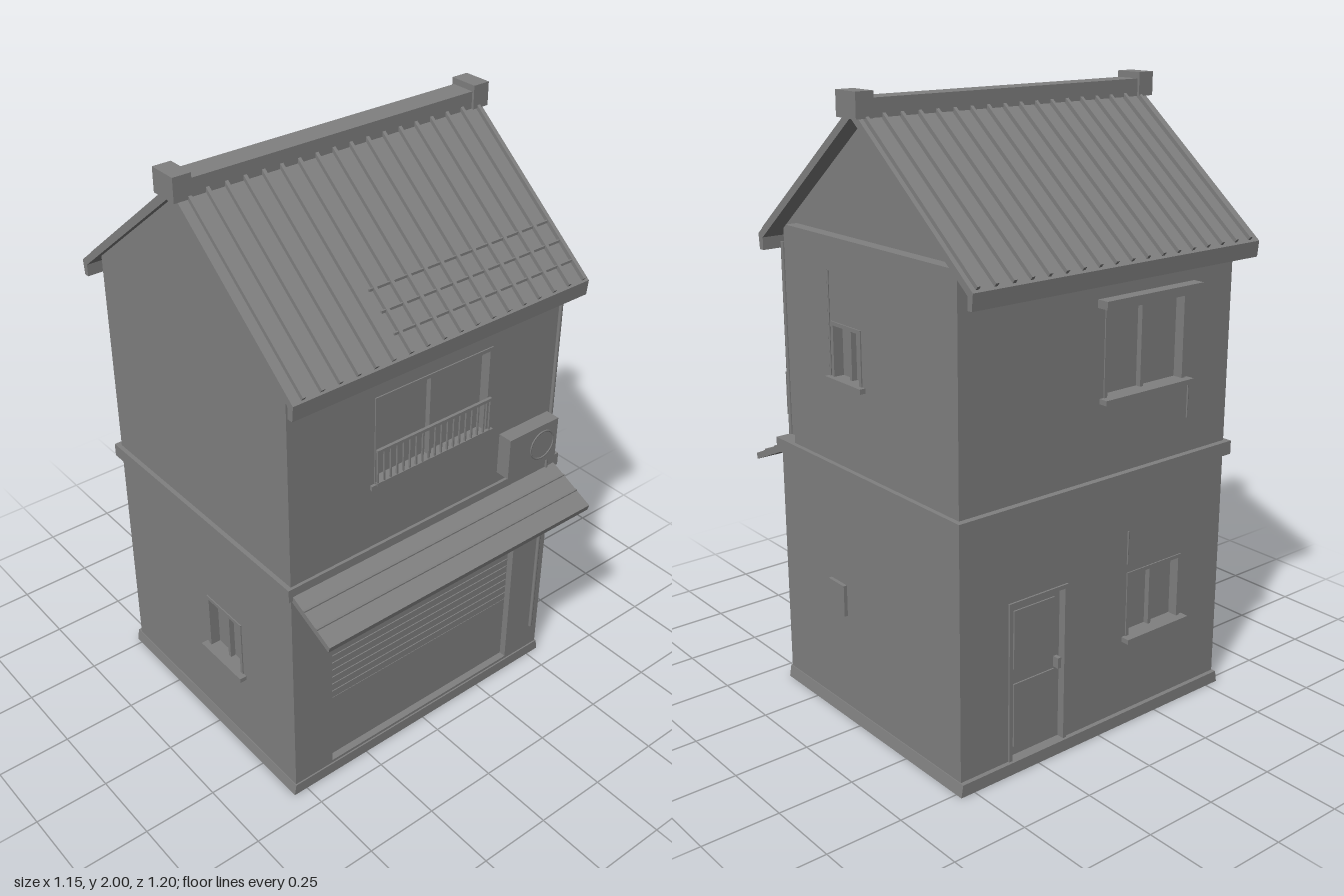
import * as THREE from 'three';

export function createModel() {
  const house = new THREE.Group();
  house.name = 'house';
  const grey = new THREE.MeshStandardMaterial({ color: 0x808080 });
  grey.name = 'plain grey';

  const add = (parent, name, geo) => {
    const m = new THREE.Mesh(geo, grey);
    m.name = name;
    parent.add(m);
    return m;
  };
  // Box given by its limits on each axis
  const box = (parent, name, x0, x1, y0, y1, z0, z1) => {
    const m = add(parent, name, new THREE.BoxGeometry(x1 - x0, y1 - y0, z1 - z0));
    m.position.set((x0 + x1) / 2, (y0 + y1) / 2, (z0 + z1) / 2);
    return m;
  };
  const rect = (Type, x0, x1, y0, y1) => new Type([[x0, y0], [x1, y0], [x1, y1], [x0, y1]]
    .map(p => new THREE.Vector2(...p)));
  // Profile in (z, y), swept along x
  const sweepX = (parent, name, pts, x0, x1) => {
    const shape = new THREE.Shape(pts.map(p => new THREE.Vector2(...p)));
    const g = new THREE.ExtrudeGeometry(shape, { depth: x1 - x0, bevelEnabled: false });
    g.rotateY(-Math.PI / 2).translate(x1, 0, 0);
    return add(parent, name, g);
  };

  // One group per facade: local z = 0 is the wall surface, facing outwards
  const zMid = -0.045;
  const side = (name, x, z, angle) => {
    const g = new THREE.Group();
    g.name = name;
    g.position.set(x, 0, z);
    g.rotation.y = angle;
    house.add(g);
    return g;
  };
  const front = side('frontFacade', 0, 0.42, 0);
  const back = side('backFacade', 0, -0.51, Math.PI);
  const right = side('plusXFacade', 0.54, zMid, Math.PI / 2);
  const left = side('minusXFacade', -0.54, zMid, -Math.PI / 2);

  // Wall slab with rectangular openings [x0, x1, y0, y1]
  const wall = (parent, name, x0, x1, y0, y1, holes = []) => {
    const s = rect(THREE.Shape, x0, x1, y0, y1);
    holes.forEach(h => s.holes.push(rect(THREE.Path, ...h)));
    const g = new THREE.ExtrudeGeometry(s, { depth: 0.04, bevelEnabled: false });
    add(parent, name, g.translate(0, 0, -0.04));
  };
  // Sliding window set into an opening
  const windowUnit = (parent, name, [x0, x1, y0, y1], sillDepth) => {
    const g = new THREE.Group(), t = 0.012, mid = (x0 + x1) / 2;
    g.name = name;
    parent.add(g);
    box(g, 'pane', x0, x1, y0, y1, -0.039, -0.03);
    box(g, 'frameLeft', x0, x0 + t, y0, y1, -0.03, 0.004);
    box(g, 'frameRight', x1 - t, x1, y0, y1, -0.03, 0.004);
    box(g, 'frameTop', x0, x1, y1 - t, y1, -0.03, 0.004);
    box(g, 'meetingStile', mid - t / 2, mid + t / 2, y0, y1 - t, -0.03, -0.012);
    box(g, 'sill', x0 - 0.015, x1 + 0.015, y0 - 0.012, y0 + 0.004, -0.03, sillDepth);
  };

  // Openings, in each facade's own coordinates
  const shutterHole = [-0.39, 0.39, 0.05, 0.68];
  const frontWin = [-0.23, 0.225, 1.09, 1.39];
  const doorHole = [-0.36, -0.13, 0.04, 0.56];
  const backLow = [0.12, 0.36, 0.3, 0.52];
  const backHigh = [0, 0.34, 1.11, 1.385];
  const rightWin = [-0.145, 0.01, 1.14, 1.315];
  const leftWin = [0.005, 0.195, 0.32, 0.53];

  // Walls, ground floor then upper floor
  wall(front, 'groundFrontWall', -0.54, 0.54, 0.02, 0.84, [shutterHole]);
  wall(back, 'groundBackWall', -0.54, 0.54, 0.02, 0.84, [doorHole, backLow]);
  wall(right, 'groundSideWall', -0.465, 0.465, 0.02, 0.84);
  wall(left, 'groundSideWall', -0.465, 0.465, 0.02, 0.84, [leftWin]);
  wall(front, 'upperFrontWall', -0.54, 0.5, 0.84, 1.54, [frontWin]);
  wall(back, 'upperBackWall', -0.54, 0.54, 0.84, 1.55, [backHigh]);
  wall(right, 'upperSideWall', -0.385, 0.465, 0.84, 1.57, [rightWin]);
  wall(left, 'upperSideWall', -0.465, 0.465, 0.84, 1.54);
  box(house, 'cornerReturn', 0.46, 0.5, 0.84, 1.54, 0.33, 0.42);

  // Gable block, base skirt, floor and string course
  sweepX(house, 'gable', [[-0.51, 1.535], [0.42, 1.535], [0.42, 1.55], [-0.055, 1.935], [-0.51, 1.565]], -0.54, 0.5);
  box(house, 'floor', -0.51, 0.51, 0.022, 0.035, -0.48, 0.39);
  const skirt = rect(THREE.Shape, -0.55, 0.55, -0.425, 0.525);
  skirt.holes.push(rect(THREE.Path, -0.48, 0.48, -0.36, 0.45));
  const skirtGeo = new THREE.ExtrudeGeometry(skirt, { depth: 0.04, bevelEnabled: false });
  skirtGeo.rotateX(-Math.PI / 2);
  // Draw the skirt's top edge in towards the wall
  const sp = skirtGeo.attributes.position;
  for (let i = 0; i < sp.count; i++) {
    if (sp.getY(i) > 0.02 && Math.abs(sp.getX(i)) > 0.5) sp.setX(i, Math.sign(sp.getX(i)) * 0.543);
  }
  skirtGeo.computeVertexNormals();
  add(house, 'baseSkirt', skirtGeo);
  box(house, 'stringCourse', -0.555, 0.555, 0.82, 0.865, -0.53, 0.43);

  // Windows
  windowUnit(front, 'frontWindow', frontWin, 0.01);
  windowUnit(back, 'lowerBackWindow', backLow, 0.03);
  windowUnit(back, 'upperBackWindow', backHigh, 0.03);
  windowUnit(right, 'sideWindow', rightWin, 0.02);
  windowUnit(left, 'sideWindow', leftWin, 0.025);
  box(back, 'windowHood', -0.03, 0.37, 1.39, 1.415, -0.01, 0.04);

  // Balcony railing
  for (const y of [1.095, 1.21]) box(front, 'rail', -0.228, 0.223, y - 0.005, y + 0.005, 0.004, 0.014);
  for (let i = 0; i <= 18; i++) {
    const x = -0.224 + i * 0.0247;
    box(front, 'baluster', x - 0.0025, x + 0.0025, 1.09, 1.21, 0.006, 0.012);
  }

  // Shutter, housing and awning
  box(front, 'shutterPanel', -0.39, 0.39, 0.05, 0.3, -0.039, -0.024);
  box(front, 'shutterBack', -0.39, 0.39, 0.3, 0.68, -0.039, -0.03);
  for (let y = 0.302; y < 0.67; y += 0.03) box(front, 'slat', -0.39, 0.39, y, y + 0.026, -0.03, -0.024);
  box(front, 'shutterHousing', -0.415, 0.405, 0.67, 0.735, -0.01, 0.03);
  for (const x of [-0.425, 0.415]) box(front, 'awningBracket', x - 0.008, x + 0.008, 0.685, 0.75, 0, 0.025);
  sweepX(house, 'awning', [[0.42, 0.815], [0.595, 0.738], [0.6, 0.758], [0.42, 0.84]], -0.54, 0.535);
  for (const t of [0.33, 0.66]) {
    const b = box(house, 'awningSeam', -0.54, 0.535, -0.002, 0.004, -0.004, 0.004);
    b.position.set(-0.0025, 0.84 - 0.082 * t, 0.42 + 0.18 * t);
  }

  // Air conditioner with round grille
  box(front, 'airConditioner', 0.27, 0.48, 0.915, 1.06, 0.01, 0.06);
  box(front, 'airConditionerMount', 0.29, 0.46, 0.925, 0.94, 0, 0.015);
  const grille = add(front, 'grille', new THREE.TorusGeometry(0.05, 0.003, 6, 24));
  grille.position.set(0.415, 0.985, 0.06);

  // Downpipe, conduits and meter box
  const pipe = (parent, x, y0, y1, r, z) => {
    const p = add(parent, 'pipe', new THREE.CylinderGeometry(r, r, y1 - y0, 8));
    p.position.set(x, (y0 + y1) / 2, z);
  };
  pipe(front, 0.5, 0.14, 1.5, 0.007, 0.008);
  pipe(right, -0.155, 1.14, 1.47, 0.003, 0.002);
  pipe(back, 0.36, 0.98, 1.1, 0.003, 0.002);
  pipe(back, 0.12, 0.55, 0.66, 0.003, 0.002);
  box(right, 'meterBox', -0.195, -0.11, 0.36, 0.465, 0, 0.012);

  // Back door
  box(back, 'door', -0.35, -0.14, 0.04, 0.55, -0.039, -0.02);
  box(back, 'doorUpperPanel', -0.325, -0.165, 0.33, 0.52, -0.02, -0.015);
  box(back, 'doorLowerPanel', -0.325, -0.165, 0.07, 0.28, -0.02, -0.015);
  box(back, 'doorHandle', -0.165, -0.152, 0.285, 0.32, -0.02, 0.002);
  box(back, 'doorFrame', -0.36, -0.347, 0.04, 0.56, -0.039, 0.006);
  box(back, 'doorFrame', -0.143, -0.13, 0.04, 0.56, -0.039, 0.006);
  box(back, 'doorFrame', -0.36, -0.13, 0.547, 0.56, -0.039, 0.006);

  // Roof shell with turned-down eaves
  sweepX(house, 'roof', [[0.48, 1.525], [-0.055, 1.955], [-0.595, 1.525], [-0.59, 1.475], [-0.572, 1.475],
    [-0.572, 1.515], [-0.055, 1.925], [0.455, 1.515], [0.455, 1.475], [0.475, 1.475]], -0.56, 0.555);
  // Standing seams down both slopes
  const slope = Math.atan2(0.43, 0.5375), length = 0.675;
  for (const s of [1, -1]) {
    for (let i = 0; i < 18; i++) {
      const r = add(house, 'roofSeam', new THREE.BoxGeometry(0.011, 0.016, length));
      r.position.set(-0.523 + i * 0.0622, 1.745, s > 0 ? 0.2145 : -0.327);
      r.rotation.x = s * slope;
    }
  }
  // Snow rails on the front slope
  for (const z of [0.315, 0.37, 0.425]) {
    const y = 1.525 + (0.48 - z) * 0.804;
    box(house, 'snowRail', -0.17, 0.54, y + 0.004, y + 0.012, z - 0.003, z + 0.003);
  }
  // Ridge with end blocks
  box(house, 'ridge', -0.54, 0.54, 1.925, 1.98, -0.1, -0.018);
  for (const x of [-0.545, 0.542]) box(house, 'ridgeEnd', x - 0.03, x + 0.03, 1.925, 2, -0.108, -0.01);

  return house;
}
